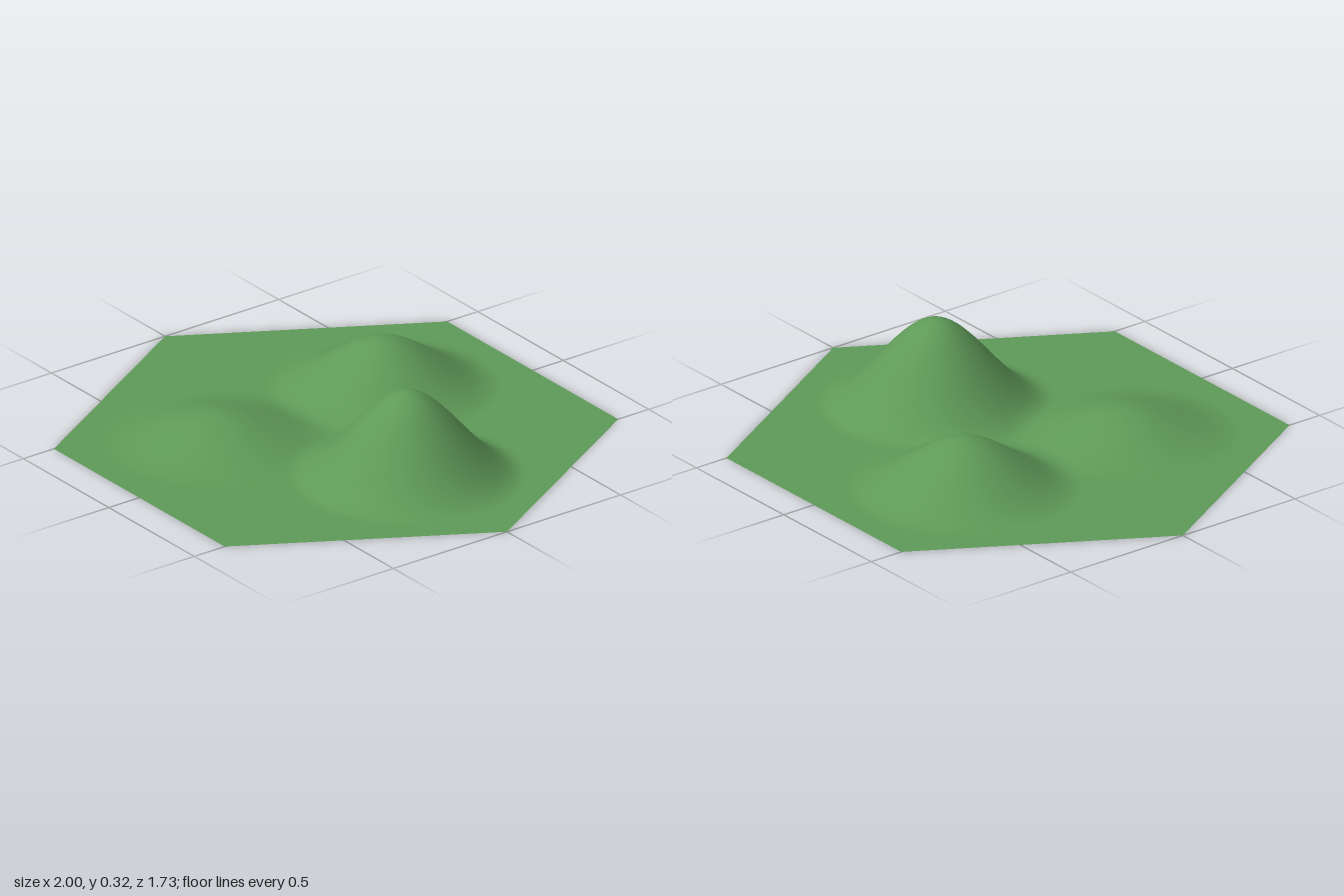
import * as THREE from 'three';
import { mergeVertices } from 'three/addons/utils/BufferGeometryUtils.js';

const RINGS = 48;
const HILL_RADIUS = 0.416;
const HILL_OFFSET = 0.416;

// Three round hills spaced evenly about the centre
const hills = [0.325, 0.19, 0.095].map((height, k) => {
  const angle = (k * 2 * Math.PI) / 3;
  return { height, x: HILL_OFFSET * Math.cos(angle), z: -HILL_OFFSET * Math.sin(angle) };
});

// Each hill eases smoothly from its peak down to the flat ground
function groundHeight(x, z) {
  return hills.reduce((sum, hill) => {
    const d = Math.hypot(x - hill.x, z - hill.z);
    return sum + hill.height * (1 - THREE.MathUtils.smoothstep(d, 0, HILL_RADIUS));
  }, 0);
}

// Hexagonal sheet: six triangular sectors of fine triangles, raised by the hills
function terrainGeometry() {
  const positions = [];
  const indices = [];
  for (let sector = 0; sector < 6; sector++) {
    const a = (sector * Math.PI) / 3;
    const b = a + Math.PI / 3;
    const base = positions.length / 3;
    const at = (i, j) => base + (i * (i + 1)) / 2 + j;
    for (let i = 0; i <= RINGS; i++) {
      for (let j = 0; j <= i; j++) {
        const x = ((i - j) * Math.cos(a) + j * Math.cos(b)) / RINGS;
        const z = -((i - j) * Math.sin(a) + j * Math.sin(b)) / RINGS;
        positions.push(x, groundHeight(x, z), z);
        if (i < RINGS) indices.push(at(i, j), at(i + 1, j), at(i + 1, j + 1));
        if (j < i && i < RINGS) indices.push(at(i, j), at(i + 1, j + 1), at(i, j + 1));
      }
    }
  }
  const geometry = new THREE.BufferGeometry();
  geometry.setAttribute('position', new THREE.Float32BufferAttribute(positions, 3));
  geometry.setIndex(indices);
  const welded = mergeVertices(geometry);
  welded.computeVertexNormals();
  return welded;
}

export function createModel() {
  const group = new THREE.Group();
  group.name = 'hillTile';
  const grass = new THREE.MeshStandardMaterial({ color: 0x5f9a58, side: THREE.DoubleSide });
  const terrain = new THREE.Mesh(terrainGeometry(), grass);
  terrain.name = 'hillyGround';
  group.add(terrain);
  return group;
}
